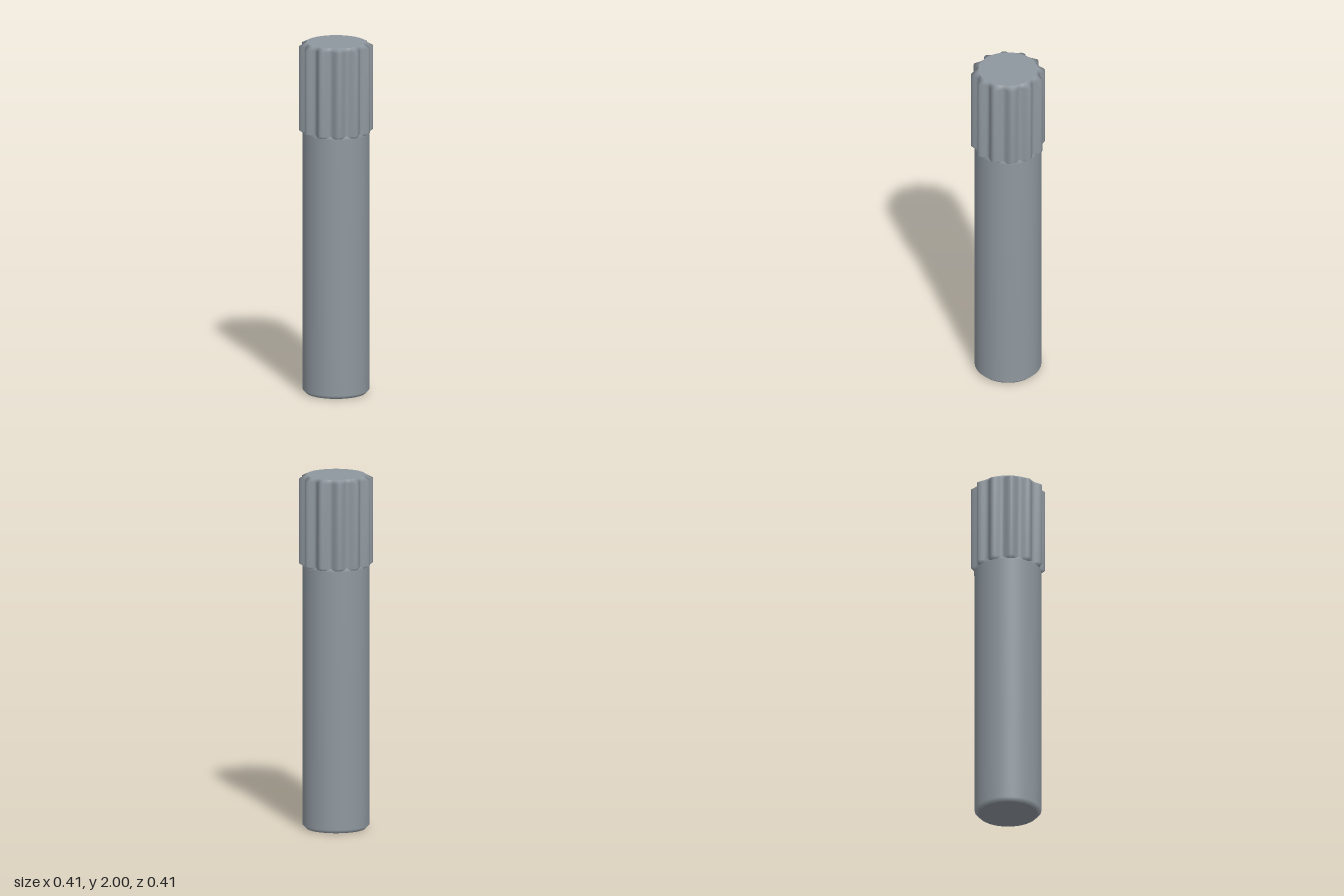
import * as THREE from 'three';

const TEETH = 12, SEGS = 144;
const steel = new THREE.MeshStandardMaterial({ color: 0x8f989f });
steel.name = 'steel grey';

const round = (r) => () => r;
// Wavy outline of the splined head: rounded teeth with shallow valleys
const fluted = (a) => 0.176 + 0.015 * (1 + Math.cos(TEETH * a));

// Skin a stack of [height, radius rule] rings with smooth normals
function loft(rings) {
  const pos = [], index = [];
  for (const [y, radius] of rings) {
    for (let i = 0; i < SEGS; i++) {
      const a = (i / SEGS) * Math.PI * 2, r = radius(a);
      pos.push(r * Math.sin(a), y, r * Math.cos(a));
    }
  }
  for (let k = 0; k < rings.length - 1; k++) {
    for (let i = 0; i < SEGS; i++) {
      const j = (i + 1) % SEGS;
      const a = k * SEGS + i, b = k * SEGS + j, c = a + SEGS, d = b + SEGS;
      index.push(a, b, d, a, d, c);
    }
  }
  const g = new THREE.BufferGeometry();
  g.setAttribute('position', new THREE.Float32BufferAttribute(pos, 3));
  g.setIndex(index);
  g.computeVertexNormals();
  return g;
}

export function createModel() {
  const group = new THREE.Group();
  group.name = 'splinedPin';
  const add = (name, geometry) => {
    const mesh = new THREE.Mesh(geometry, steel);
    mesh.name = name;
    group.add(mesh);
    return mesh;
  };

  // Plain shaft with a chamfered foot
  add('shaft', loft([[0, round(0.165)], [0.02, round(0.185)], [1.48, round(0.185)], [1.5, round(0.176)]]));

  // Toothed head, chamfered at both ends
  add('splinedHead', loft([[1.48, round(0.176)], [1.5, fluted], [1.98, fluted], [2, round(0.165)]]));

  // Flat end faces
  const top = add('topFace', new THREE.CircleGeometry(0.165, SEGS));
  top.rotation.x = -Math.PI / 2;
  top.position.y = 2;
  const bottom = add('bottomFace', new THREE.CircleGeometry(0.165, SEGS));
  bottom.rotation.x = Math.PI / 2;

  return group;
}
